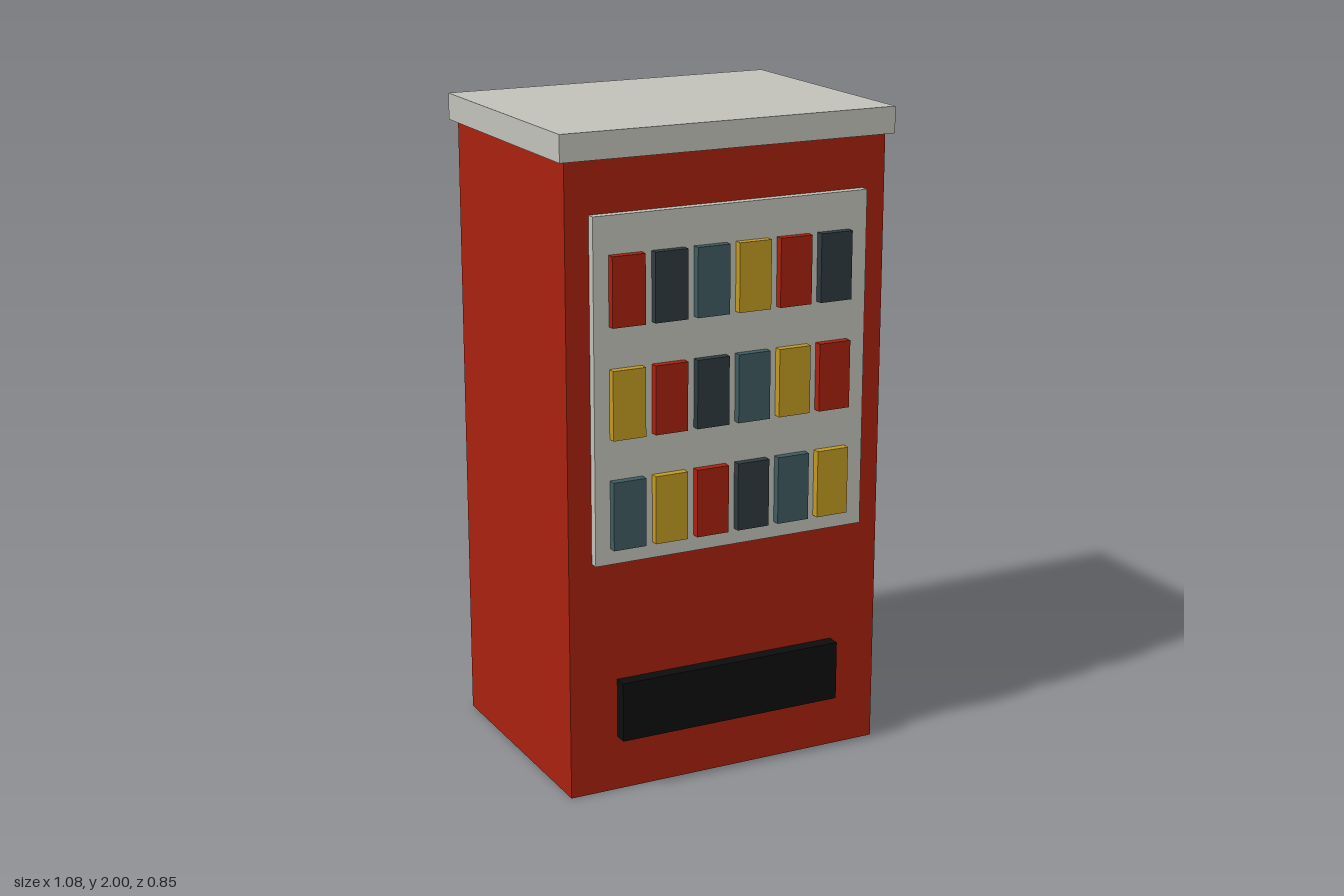
import * as THREE from 'three';

const material = (name, color) => {
  const m = new THREE.MeshStandardMaterial({ color });
  m.name = name;
  return m;
};

export function createModel() {
  const red = material('cabinet red', 0xa8210e);
  const grey = material('light grey', 0xc2c2bb);
  const slate = material('dark slate', 0x2e3a3f);
  const teal = material('muted teal', 0x3f5b60);
  const yellow = material('mustard yellow', 0xc19a22);
  const black = material('black', 0x0d0d0d);

  const model = new THREE.Group();
  model.name = 'vendingMachine';

  // Box given by its min and max corners
  const addBox = (parent, name, mat, [x0, y0, z0], [x1, y1, z1]) => {
    const mesh = new THREE.Mesh(new THREE.BoxGeometry(x1 - x0, y1 - y0, z1 - z0), mat);
    mesh.position.set((x0 + x1) / 2, (y0 + y1) / 2, (z0 + z1) / 2);
    mesh.name = name;
    parent.add(mesh);
  };

  // Cabinet and overhanging top
  const front = 0.373;
  addBox(model, 'cabinet', red, [-0.518, 0, -0.404], [0.518, 1.92, front]);
  addBox(model, 'topCap', grey, [-0.539, 1.92, -0.425], [0.539, 2, 0.393]);

  // Display panel and dispensing slot
  addBox(model, 'displayPanel', grey, [-0.444, 0.73, front], [0.444, 1.763, 0.4]);
  addBox(model, 'dispensingSlot', black, [-0.365, 0.17, front], [0.365, 0.355, 0.414]);

  // Three rows of six products, with colours shifted by one on each row
  const products = new THREE.Group();
  products.name = 'products';
  model.add(products);
  const colours = [red, slate, teal, yellow];
  for (let row = 0; row < 3; row++) {
    for (let col = 0; col < 6; col++) {
      const x = -0.396 + col * 0.135;
      const y = 1.443 - row * 0.332;
      addBox(products, `productRow${row + 1}Column${col + 1}`, colours[(col - row + 4) % 4],
        [x, y, 0.4], [x + 0.104, y + 0.207, 0.425]);
    }
  }

  return model;
}
